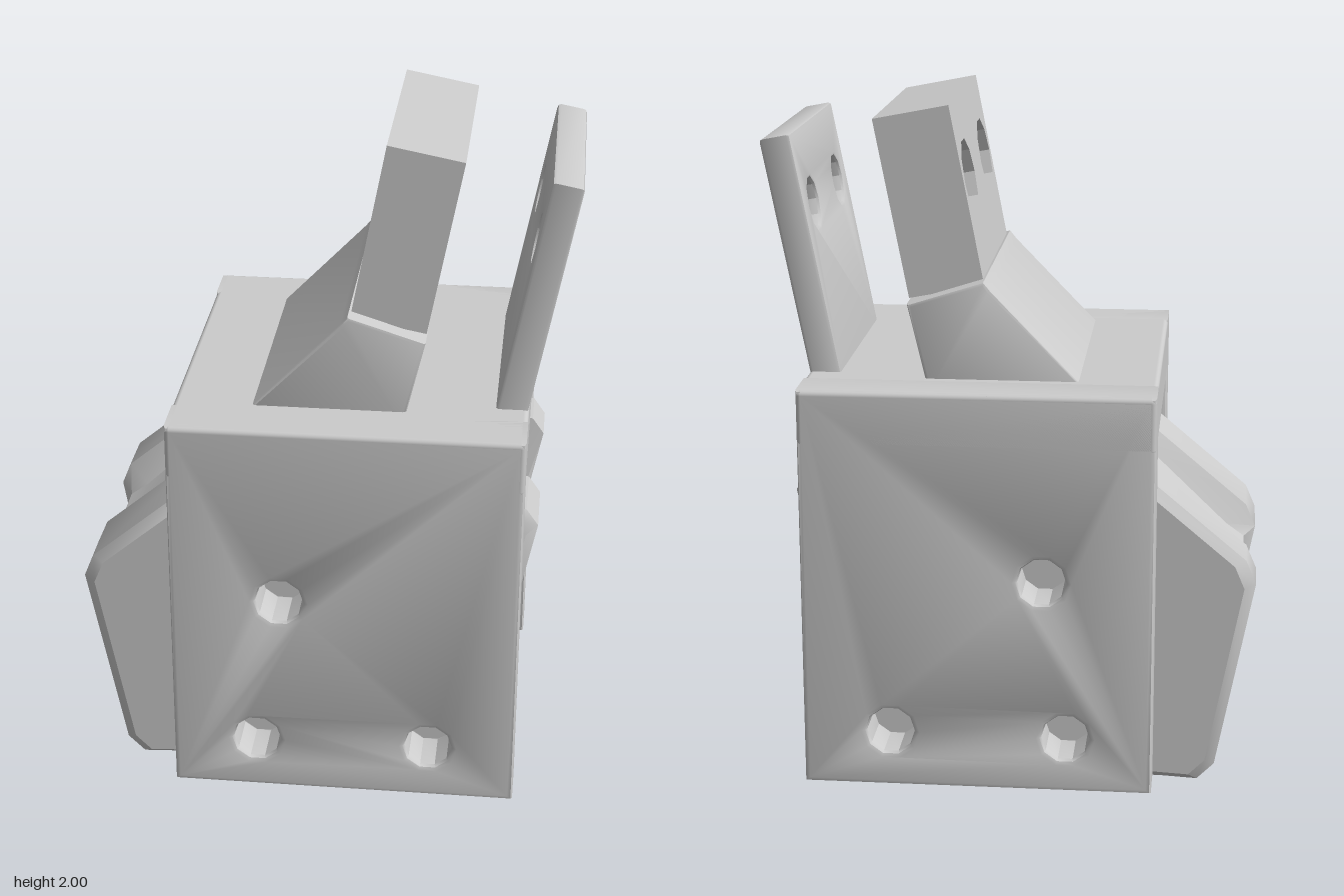
import * as THREE from 'three';
import { toCreasedNormals } from 'three/addons/utils/BufferGeometryUtils.js';
import { RoundedBoxGeometry } from 'three/addons/geometries/RoundedBoxGeometry.js';

const material = new THREE.MeshStandardMaterial({ color: 0xcccccc });

function addMesh(parent, name, geometry) {
  const mesh = new THREE.Mesh(geometry, material);
  mesh.name = name;
  parent.add(mesh);
  return mesh;
}

// Flat slab from an outline with round holes [x, y, r]; z runs from 0 to depth
function slab(points, holes, depth, bevel) {
  const shape = new THREE.Shape(points.map(([x, y]) => new THREE.Vector2(x, y)));
  for (const [x, y, r] of holes) {
    shape.holes.push(new THREE.Path().absarc(x, y, r, 0, Math.PI * 2, true));
  }
  const geometry = new THREE.ExtrudeGeometry(shape, {
    depth: depth - 2 * bevel, curveSegments: 5,
    bevelEnabled: bevel > 0, bevelThickness: bevel, bevelSize: bevel, bevelOffset: -bevel, bevelSegments: 2,
  });
  geometry.translate(0, 0, bevel);
  return toCreasedNormals(geometry, 0.6);
}

const rect = (x0, y0, x1, y1) => [[x0, y0], [x1, y0], [x1, y1], [x0, y1]];

// Upright leaning toward +x, pierced by two holes through its thickness
const LEAN = 0.19;
function leaningPlate(length, thickness, holeHeight, holeRadius, bevel) {
  const holes = [-0.2, 0.2].map((x) => [x, holeHeight, holeRadius]);
  return slab(rect(-0.34, 0, 0.34, length), holes, thickness, bevel).rotateY(Math.PI / 2);
}

// Inner block: cross-sections along z blend from the full outline to a notched one
function blockGeometry() {
  const full = [[-0.56, 0], [-0.46, 0.005], [0.33, 0.02], [0.43, 0.035], [0.46, 0.1], [0.59, 0.7], [0.625, 0.87],
    [0.59, 0.92], [0.3, 0.95], [0.24, 0.95], [-0.38, 0.95], [-0.69, 0.69], [-0.72, 0.62], [-0.61, 0.05]];
  const notched = [[-0.56, 0], [-0.46, 0.05], [0.33, 0.07], [0.43, 0.035], [0.46, 0.1], [0.57, 0.62], [0.56, 0.65],
    [0.5, 0.66], [0.28, 0.66], [0.22, 0.95], [-0.36, 0.9], [-0.63, 0.64], [-0.685, 0.6], [-0.61, 0.05]];
  // [z, amount of notch, scale about the middle]
  const sections = [[-0.39, 0, 0.95], [-0.365, 0, 1], [-0.22, 0, 1], [-0.18, 1, 1],
    [0.13, 1, 1], [0.17, 0, 1], [0.375, 0, 1], [0.4, 0, 0.95]];
  const n = full.length;
  const positions = [];
  const index = [];
  for (const [z, m, s] of sections) {
    full.forEach(([x, y], i) => {
      const px = THREE.MathUtils.lerp(x, notched[i][0], m);
      const py = THREE.MathUtils.lerp(y, notched[i][1], m);
      positions.push(-0.05 + (px + 0.05) * s, 0.45 + (py - 0.45) * s, z);
    });
  }
  for (let k = 0; k < sections.length - 1; k++) {
    for (let i = 0; i < n; i++) {
      const a = k * n + i;
      const b = k * n + (i + 1) % n;
      index.push(a, b, b + n, a, b + n, a + n);
    }
  }
  const last = (sections.length - 1) * n;
  const outline = full.map(([x, y]) => new THREE.Vector2(x, y));
  for (const [a, b, c] of THREE.ShapeUtils.triangulateShape(outline, [])) {
    index.push(a, c, b, last + a, last + b, last + c);
  }
  const geometry = new THREE.BufferGeometry();
  geometry.setAttribute('position', new THREE.Float32BufferAttribute(positions, 3));
  geometry.setIndex(index);
  return toCreasedNormals(geometry, 0.6);
}

export function createModel() {
  const model = new THREE.Group();
  model.name = 'clevisBracket';

  // Housing: two drilled side walls joined by a roof
  const housing = new THREE.Group();
  housing.name = 'housing';
  model.add(housing);
  const wallHoles = [[-0.11, 0.67, 0.07], [-0.18, 0.195, 0.07], [0.33, 0.2, 0.07]];
  for (const [name, z] of [['frontWall', 0.4], ['backWall', -0.56]]) {
    addMesh(housing, name, slab(rect(-0.43, 0.03, 0.585, 1.22), wallHoles, 0.16, 0.015)).position.z = z;
  }
  addMesh(housing, 'roof', new RoundedBoxGeometry(1.015, 0.165, 1.12, 2, 0.015)).position.set(0.0775, 1.1375, 0);

  // Block held between the walls
  addMesh(model, 'innerBlock', blockGeometry());

  // Sloped foot under the thick upright
  const foot = [[-0.24, 1.18], [0.23, 1.18], [0.29, 1.435], [0.07, 1.505], [0.05, 1.48]];
  addMesh(model, 'thickUprightFoot', slab(foot, [], 0.78, 0.01)).position.z = -0.39;

  // Thick upright in two layers, with wide counterbores on the right face
  const thick = new THREE.Group();
  thick.name = 'thickUpright';
  thick.position.set(0.073, 1.485, 0);
  thick.rotation.z = -LEAN;
  model.add(thick);
  addMesh(thick, 'counterboredLayer', leaningPlate(0.52, 0.11, 0.29, 0.115, 0));
  addMesh(thick, 'drilledLayer', leaningPlate(0.52, 0.11, 0.29, 0.075, 0)).position.x = 0.11;

  // Thin upright
  const thin = addMesh(model, 'thinUpright', leaningPlate(0.73, 0.09, 0.51, 0.075, 0.01));
  thin.position.set(0.485, 1.19, 0);
  thin.rotation.z = -LEAN;

  return model;
}
